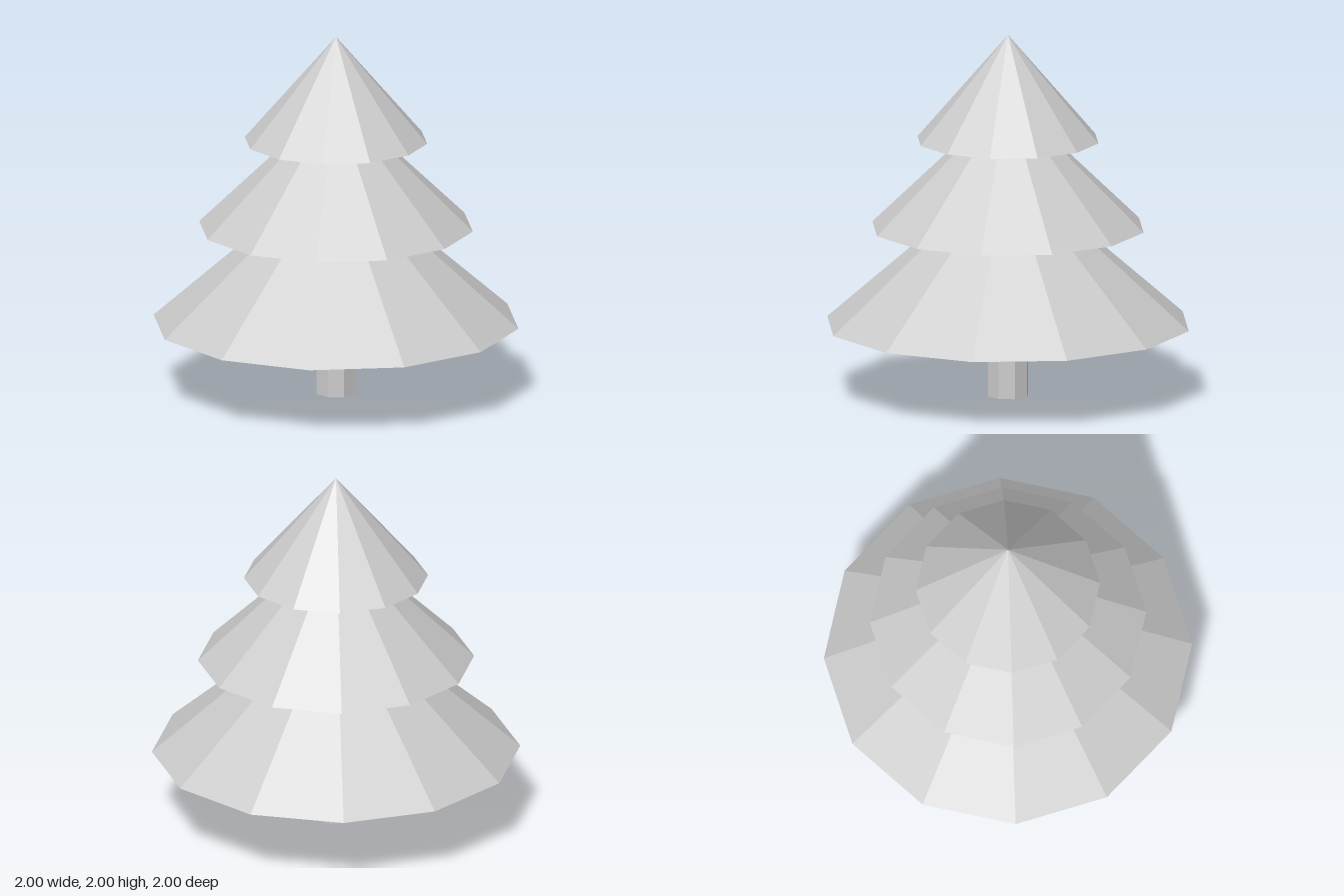
import * as THREE from 'three';

export function createModel() {
  const tree = new THREE.Group();
  tree.name = 'pineTree';
  const grey = new THREE.MeshStandardMaterial({ color: 0xcccccc, flatShading: true });
  grey.name = 'pale grey';

  // Adds a part standing on the given height
  const add = (name, geometry, base, height) => {
    const mesh = new THREE.Mesh(geometry, grey);
    mesh.name = name;
    mesh.position.y = base + height / 2;
    tree.add(mesh);
  };

  // Eight-sided trunk
  const trunkHeight = 0.396;
  add('trunk', new THREE.CylinderGeometry(0.115, 0.115, trunkHeight, 8), 0, trunkHeight);

  // Three twelve-sided tiers of foliage, each tip hidden inside the tier above
  const tiers = [
    ['lowerFoliage', 1.0, 0.396, 1.275],
    ['middleFoliage', 0.75, 0.933, 1.66],
    ['upperFoliage', 0.5, 1.417, 2.0],
  ];
  for (const [name, radius, base, tip] of tiers) {
    add(name, new THREE.ConeGeometry(radius, tip - base, 12), base, tip - base);
  }
  return tree;
}
